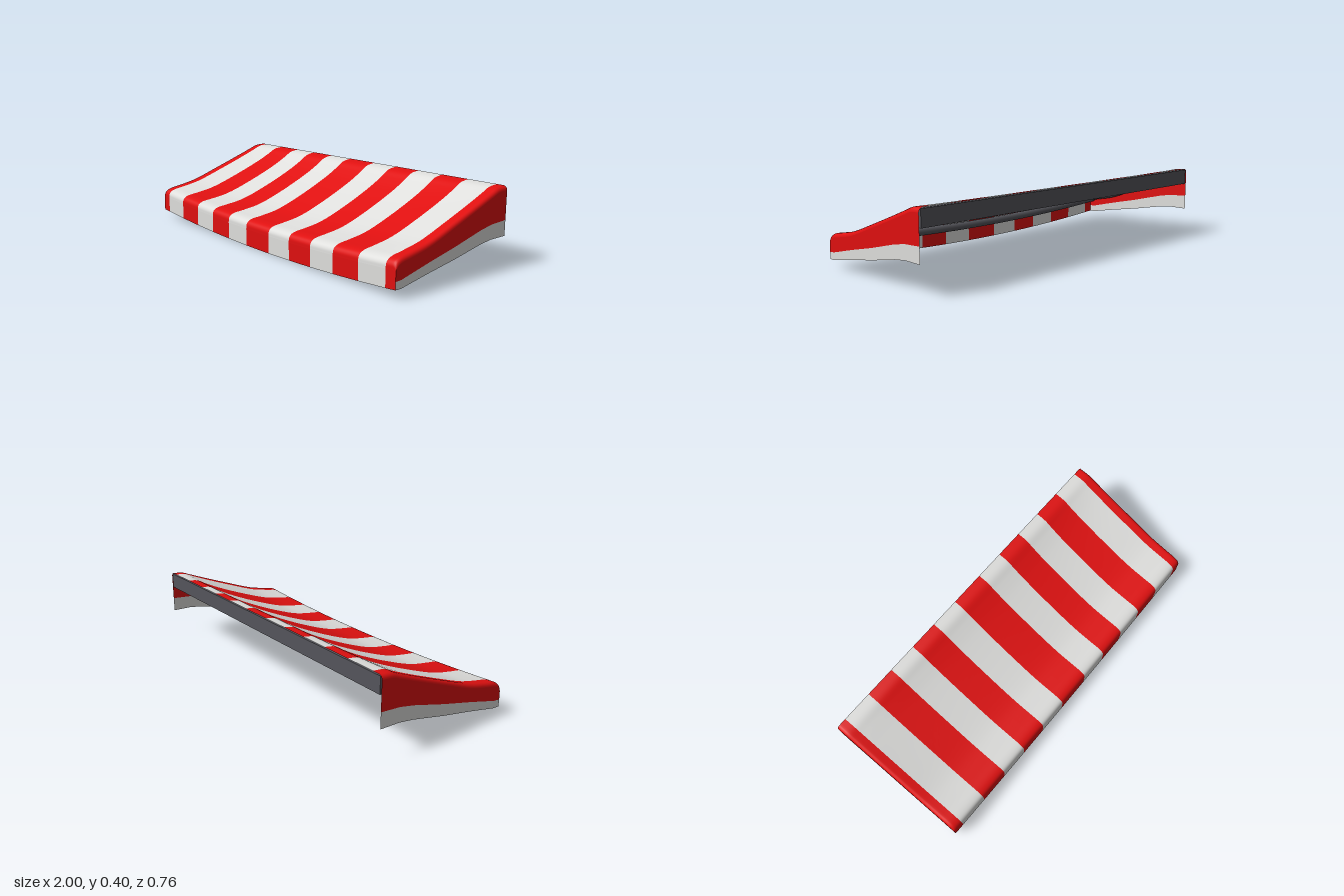
import * as THREE from 'three';

const red = new THREE.MeshStandardMaterial({ color: 0xe01010, side: THREE.DoubleSide });
red.name = 'red cloth';
const white = new THREE.MeshStandardMaterial({ color: 0xdfdfdd, side: THREE.DoubleSide });
white.name = 'white cloth';
const metal = new THREE.MeshStandardMaterial({ color: 0x55555b });
metal.name = 'dark metal';

// Canopy profile at the side edges, back to front: z, y, sag at the middle
const PROFILE = [
  [-0.38, 0.398, 0], [-0.32, 0.393, 0.006], [-0.27, 0.375, 0.018], [-0.19, 0.345, 0.032],
  [0, 0.275, 0.046], [0.17, 0.215, 0.046], [0.28, 0.191, 0.041], [0.345, 0.178, 0.037],
  [0.368, 0.166, 0.036], [0.378, 0.15, 0.036], [0.38, 0.13, 0.037],
];
// Lower edge of the side flaps: z, y
const HEM = [[-0.38, 0.15], [-0.27, 0.15], [-0.19, 0.14], [0, 0.103], [0.17, 0.075], [0.345, 0.043], [0.38, 0.043]];
// Stripe borders on one half
const BORDERS = [0.1, 0.27, 0.435, 0.6, 0.77, 0.94];
const ROUND = 0.022;

const rows = new THREE.CatmullRomCurve3(PROFILE.map(([z, y, s]) => new THREE.Vector3(s, y, z)))
  .getPoints(50).map((p) => ({ z: p.z, y: p.y, sag: p.x }));

function lookup(table, z) {
  for (let i = 1; i < table.length; i++) {
    const [z0, y0] = table[i - 1], [z1, y1] = table[i];
    if (z <= z1) return y0 + (y1 - y0) * (z - z0) / (z1 - z0);
  }
  return table[table.length - 1][1];
}

// Height of the cloth: sags between the sides and rolls over at the side edges
function clothY(x, row) {
  const a = Math.abs(x);
  const power = THREE.MathUtils.clamp(3 - row.z * 3, 2, 4);
  const over = Math.max(0, a - (1 - ROUND));
  const roll = ROUND - Math.sqrt(Math.max(0, ROUND * ROUND - over * over));
  return row.y - row.sag * (1 - a ** power) - roll;
}

// Surface from a grid of points, with one material index per cell
function gridMesh(name, nu, nv, point, paint, materials) {
  const pos = [], cells = materials.map(() => []);
  for (let j = 0; j < nv; j++) for (let i = 0; i < nu; i++) pos.push(...point(i, j));
  for (let j = 0; j < nv - 1; j++) {
    for (let i = 0; i < nu - 1; i++) {
      const a = j * nu + i, b = a + 1, c = a + nu, d = c + 1;
      cells[paint(i, j)].push(a, c, b, b, c, d);
    }
  }
  const geo = new THREE.BufferGeometry();
  geo.setAttribute('position', new THREE.Float32BufferAttribute(pos, 3));
  geo.setIndex(cells.flat());
  let start = 0;
  cells.forEach((list, k) => {
    geo.addGroup(start, list.length, k);
    start += list.length;
  });
  geo.computeVertexNormals();
  const mesh = new THREE.Mesh(geo, materials);
  mesh.name = name;
  return mesh;
}

function tube(name, points, radius) {
  const mesh = new THREE.Mesh(
    new THREE.TubeGeometry(new THREE.CatmullRomCurve3(points), 40, radius, 12), metal);
  mesh.name = name;
  return mesh;
}

export function createModel() {
  const group = new THREE.Group();
  group.name = 'awning';

  // Columns follow the stripe borders, with extra ones on the rolled edges
  const half = [0];
  [...BORDERS, 1 - ROUND].forEach((b) => {
    const from = half[half.length - 1];
    for (let k = 1; k <= 4; k++) half.push(from + (b - from) * k / 4);
  });
  for (let k = 1; k <= 5; k++) half.push(1 - ROUND + ROUND * Math.sin(k / 5 * Math.PI / 2));
  const xs = [...half.slice(1).reverse().map((x) => -x), ...half];
  const stripe = (i) => {
    const mid = Math.abs(xs[i] + xs[i + 1]) / 2;
    return BORDERS.filter((b) => b < mid).length % 2;
  };

  // Striped canopy
  group.add(gridMesh('canopy', xs.length, rows.length,
    (i, j) => [xs[i], clothY(xs[i], rows[j]), rows[j].z], stripe, [red, white]));

  // Striped front flap with a curved hem
  const last = rows[rows.length - 1];
  group.add(gridMesh('frontFlap', xs.length, 3, (i, j) => {
    const top = clothY(xs[i], last), bottom = 0.043 * xs[i] ** 2;
    return [xs[i], top + (bottom - top) * j / 2, 0.38];
  }, stripe, [red, white]));

  // Side flaps: red above, white band below; and the rails inside them
  for (const side of [1, -1]) {
    const name = side > 0 ? 'left' : 'right';
    group.add(gridMesh(name + 'Flap', 3, rows.length, (i, j) => {
      const z = rows[j].z, hem = lookup(HEM, z);
      const band = hem + THREE.MathUtils.mapLinear(z, -0.38, 0.38, 0.08, 0.037);
      return [side, [clothY(1, rows[j]), band, hem][i], z];
    }, (i) => i, [red, white]));
    group.add(tube(name + 'Rail', PROFILE.slice(1, 8).map(([z, y]) =>
      new THREE.Vector3(side * 0.97, y - 0.04, z)), 0.013));
  }

  // Front bar, bowed like the cloth above it
  const bar = [];
  for (let k = -6; k <= 6; k++) {
    const x = k / 6 * 0.985;
    bar.push(new THREE.Vector3(x, 0.137 - 0.037 * (1 - x * x), 0.35));
  }
  group.add(tube('frontBar', bar, 0.022));

  // Wall plate along the back
  const plate = new THREE.Mesh(new THREE.BoxGeometry(1.98, 0.085, 0.025), metal);
  plate.name = 'wallPlate';
  plate.position.set(0, 0.349, -0.3675);
  group.add(plate);

  return group;
}
